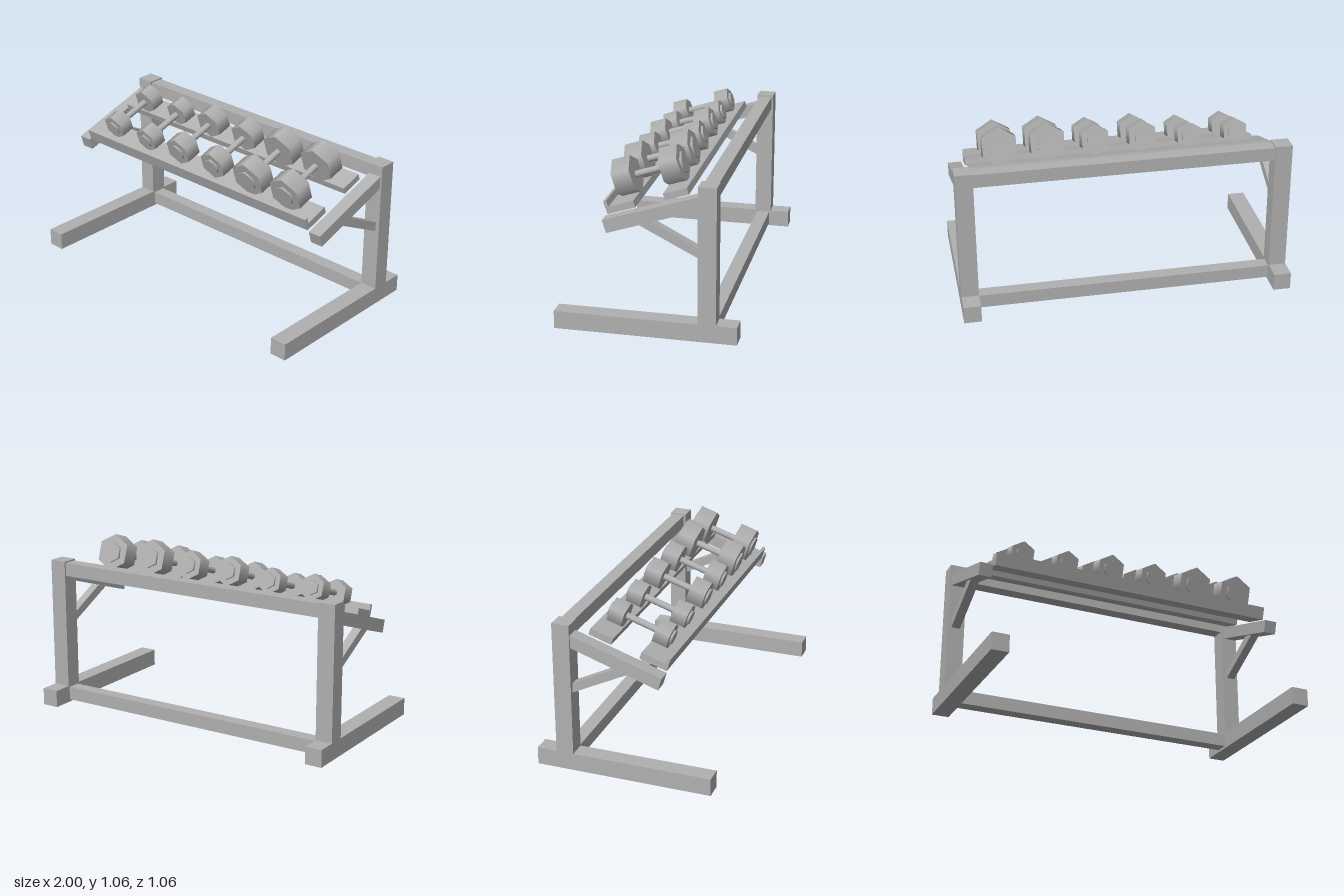
import * as THREE from 'three';

const steel = new THREE.MeshStandardMaterial({ color: 0xb0b0b0 });
steel.name = 'grey steel';

function add(parent, name, geometry, x = 0, y = 0, z = 0) {
  const mesh = new THREE.Mesh(geometry, steel);
  mesh.name = name;
  mesh.position.set(x, y, z);
  parent.add(mesh);
  return mesh;
}

// Box given by its limits on each axis
function block(parent, name, [x0, x1], [y0, y1], [z0, z1]) {
  return add(parent, name, new THREE.BoxGeometry(x1 - x0, y1 - y0, z1 - z0),
    (x0 + x1) / 2, (y0 + y1) / 2, (z0 + z1) / 2);
}

// Side profile of [z, y] points, extruded along x and centred on x = 0
function profile(points, width) {
  const shape = new THREE.Shape(points.map(([z, y]) => new THREE.Vector2(z, y)));
  const geometry = new THREE.ExtrudeGeometry(shape, { depth: width, bevelEnabled: false });
  geometry.translate(0, 0, -width / 2);
  geometry.rotateY(-Math.PI / 2);
  return geometry;
}

// Cylinder lying along z, with corners at top and bottom
function rod(radius, length, sides) {
  return new THREE.CylinderGeometry(radius, radius, length, sides).rotateX(Math.PI / 2);
}

function makeDumbbell({ radius, length, capRadius }) {
  const bell = new THREE.Group();
  bell.name = 'dumbbell';
  add(bell, 'handle', rod(0.0195, 0.25, 16));
  for (const side of [-1, 1]) {
    add(bell, 'hexHead', rod(radius, length, 6), 0, 0, side * 0.1425);
    add(bell, 'hexCap', rod(capRadius, 0.02, 6), 0, 0, side * (0.1425 + length / 2 + 0.003));
  }
  return bell;
}

export function createModel() {
  const rack = new THREE.Group();
  rack.name = 'dumbbellRack';

  // Side frames: foot, post, sloping arm and brace
  const armShape = [[0.215, 0.603], [0.238, 0.677], [-0.305, 0.853], [-0.305, 0.775]];
  const braceShape = [[0.034, 0.662], [-0.04, 0.685], [-0.305, 0.549], [-0.305, 0.492]];
  for (const side of [-1, 1]) {
    const frame = new THREE.Group();
    frame.name = side > 0 ? 'leftFrame' : 'rightFrame';
    frame.position.x = side * 0.9475;
    block(frame, 'foot', [-0.0525, 0.0525], [0, 0.106], [-0.53, 0.53]);
    block(frame, 'post', [-0.0525, 0.0525], [0.106, 0.915], [-0.41, -0.305]);
    add(frame, 'arm', profile(armShape.slice().reverse(), 0.08), side * 0.002);
    add(frame, 'brace', profile(braceShape.slice().reverse(), 0.054), side * 0.002);
    rack.add(frame);
  }

  // Crossbars between the posts
  block(rack, 'lowerCrossbar', [-0.895, 0.895], [0.015, 0.097], [-0.4, -0.318]);
  block(rack, 'upperCrossbar', [-0.895, 0.895], [0.824, 0.906], [-0.4, -0.318]);

  // Tilted tray: origin at the top front edge of the arms, -z runs up the slope
  const tray = new THREE.Group();
  tray.name = 'tray';
  tray.position.set(0, 0.677, 0.238);
  tray.rotation.x = THREE.MathUtils.degToRad(18);
  rack.add(tray);
  const span = [-0.895, 0.895];
  block(tray, 'frontLip', span, [0, 0.078], [-0.026, -0.007]);
  block(tray, 'frontShelf', span, [0, 0.04], [-0.176, -0.026]);
  block(tray, 'backShelf', span, [0, 0.04], [-0.496, -0.354]);

  // Three pairs of dumbbells, growing toward the left
  const sizes = [
    { radius: 0.08, length: 0.09, capRadius: 0.046, height: 0.11 },
    { radius: 0.092, length: 0.1, capRadius: 0.053, height: 0.13 },
    { radius: 0.115, length: 0.11, capRadius: 0.065, height: 0.138 },
  ];
  for (let i = 0; i < 6; i++) {
    const size = sizes[Math.floor(i / 2)];
    const bell = makeDumbbell(size);
    bell.position.set(-0.715 + 0.285 * i, size.height, -0.265);
    tray.add(bell);
  }
  return rack;
}
